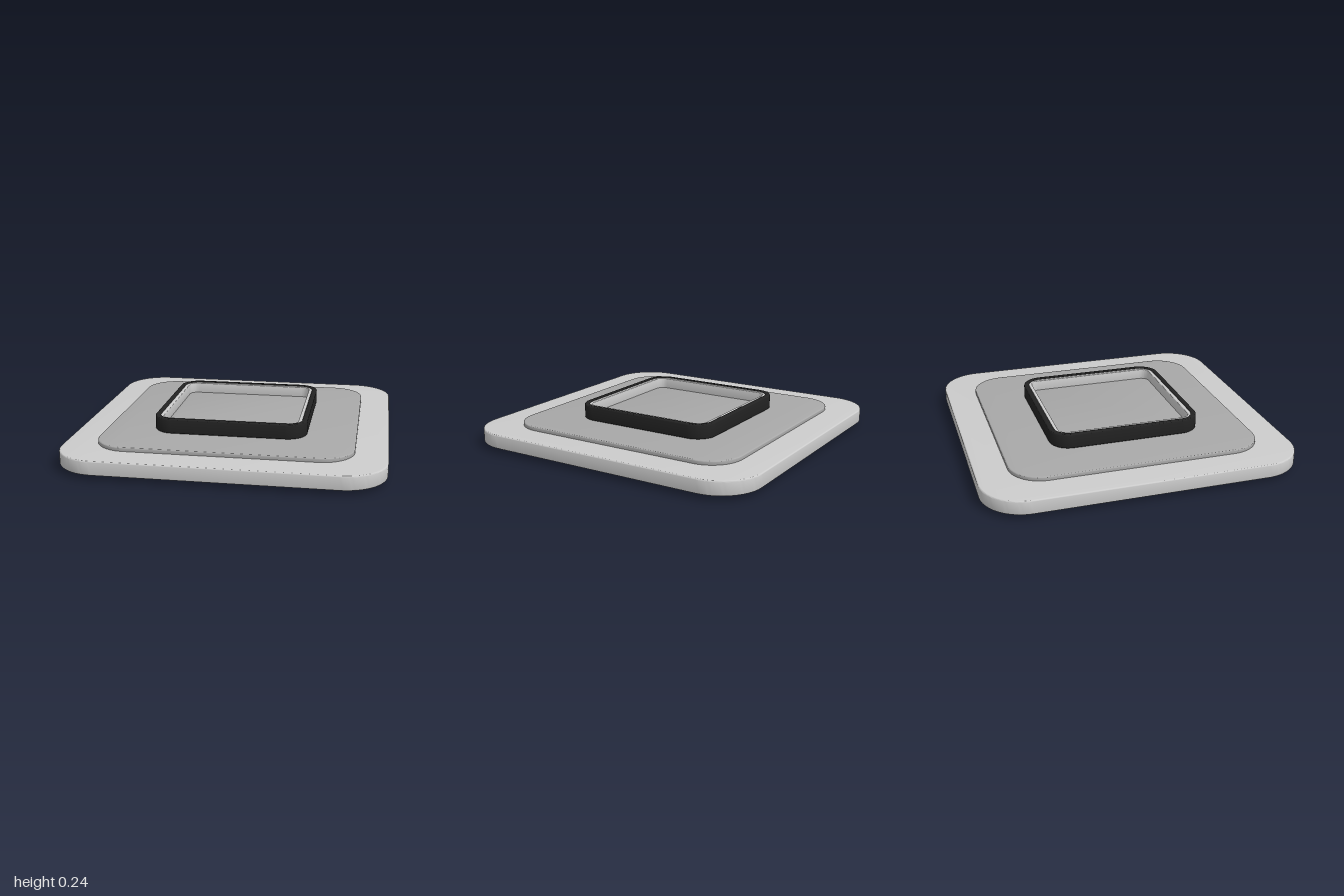
import * as THREE from 'three';
import { toCreasedNormals } from 'three/addons/utils/BufferGeometryUtils.js';

const light = new THREE.MeshStandardMaterial({ color: 0xcccccc });
const mid = new THREE.MeshStandardMaterial({ color: 0xa8a8a8 });
const dark = new THREE.MeshStandardMaterial({ color: 0x222222 });

// Rounded square outline with half-width h and corner radius r
function roundedSquare(h, r, target = new THREE.Shape()) {
  const c = h - r;
  target.moveTo(h, -c);
  target.absarc(c, c, r, 0, Math.PI / 2);
  target.absarc(-c, c, r, Math.PI / 2, Math.PI);
  target.absarc(-c, -c, r, Math.PI, Math.PI * 1.5);
  target.absarc(c, -c, r, Math.PI * 1.5, Math.PI * 2);
  return target;
}

// Bevelled slab from y0 to y1, with an optional rounded square opening
function slab(name, material, h, r, y0, y1, bevel, hole) {
  const shape = roundedSquare(h - bevel, r - bevel);
  if (hole) shape.holes.push(roundedSquare(hole.h + bevel, hole.r + bevel, new THREE.Path()));
  const geometry = new THREE.ExtrudeGeometry(shape, {
    depth: y1 - y0 - 2 * bevel,
    bevelEnabled: true,
    bevelThickness: bevel,
    bevelSize: bevel,
    bevelSegments: 3,
    curveSegments: 12,
  });
  geometry.rotateX(-Math.PI / 2);
  geometry.translate(0, y0 + bevel, 0);
  const mesh = new THREE.Mesh(toCreasedNormals(geometry, 0.6), material);
  mesh.name = name;
  return mesh;
}

export function createModel() {
  const group = new THREE.Group();
  group.name = 'squarePlate';
  group.add(
    // Wide plate with thinner pads above and below
    slab('basePlate', light, 1, 0.27, 0.03, 0.12, 0.008),
    slab('lowerPad', mid, 0.8, 0.21, 0, 0.04, 0.007),
    slab('upperPad', mid, 0.8, 0.21, 0.11, 0.145, 0.007),
    // Raised frame with a pale lining around a shallow tray
    slab('outerFrame', dark, 0.49, 0.13, 0.145, 0.24, 0.008, { h: 0.455, r: 0.095 }),
    slab('frameLining', light, 0.463, 0.1, 0.145, 0.235, 0.004, { h: 0.433, r: 0.055 }),
    slab('trayFloor', mid, 0.44, 0.06, 0.14, 0.165, 0.003),
  );
  return group;
}
